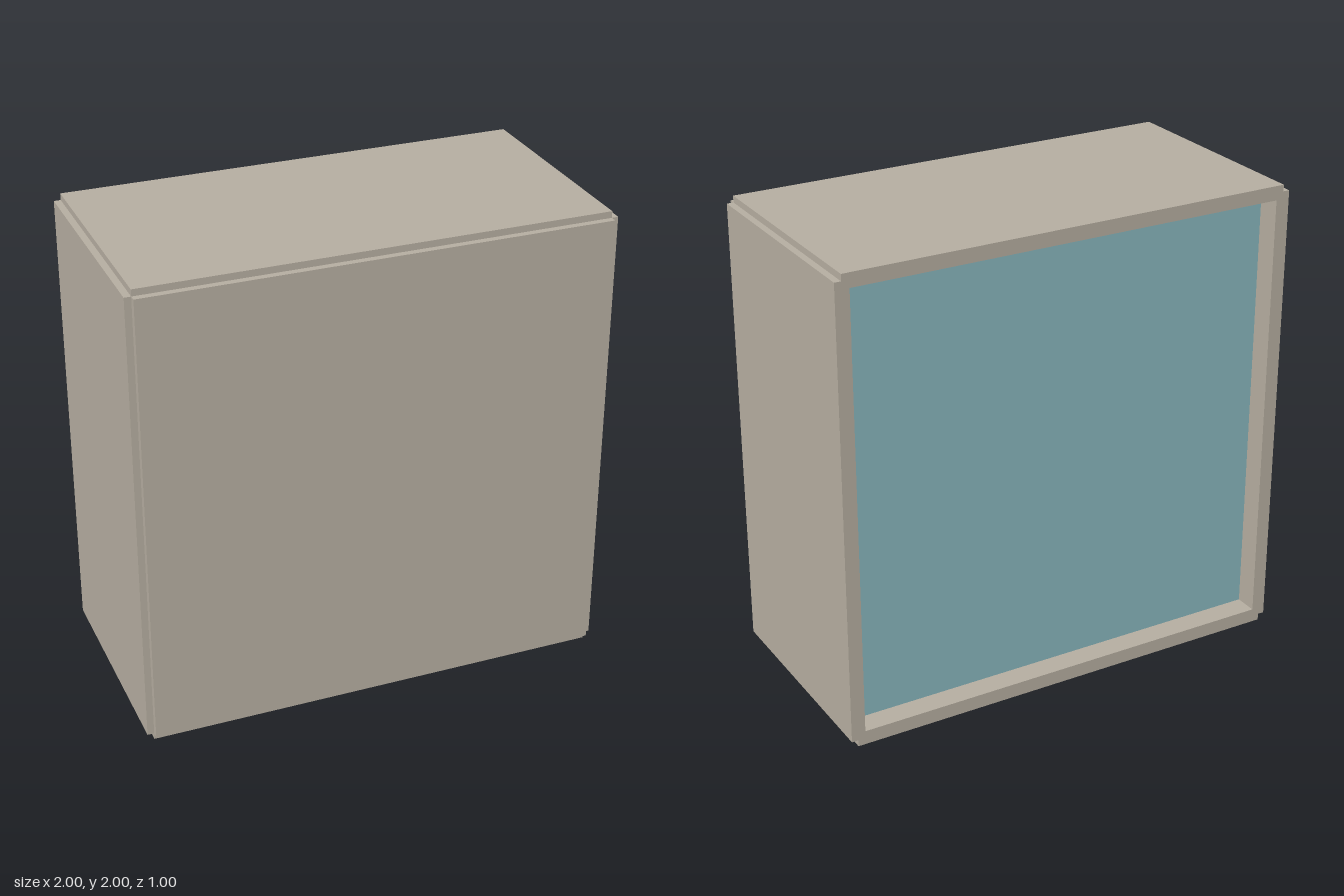
import * as THREE from 'three';

const STEP = 0.028;   // notch along the outer edges
const WALL = 0.06;    // wall thickness
const HALF_DEPTH = 0.498;
const RECESS = 0.1;   // depth of the screen behind the rim

export function createModel() {
  const group = new THREE.Group();
  const casing = new THREE.MeshStandardMaterial({ color: 0xb5ada0 });
  casing.name = 'warm grey casing';
  const glass = new THREE.MeshStandardMaterial({ color: 0x87b5bc });
  glass.name = 'pale blue panel';

  const add = (name, geometry, material, z) => {
    const mesh = new THREE.Mesh(geometry, material);
    mesh.name = name;
    mesh.position.set(0, 1, z);
    group.add(mesh);
  };

  // Four walls: a square with notched corners and an open middle
  const n = 1 - STEP;
  const outline = [
    [n, -1], [n, -n], [1, -n], [1, n], [n, n], [n, 1],
    [-n, 1], [-n, n], [-1, n], [-1, -n], [-n, -n], [-n, -1],
  ];
  const shape = new THREE.Shape(outline.map(([x, y]) => new THREE.Vector2(x, y)));
  const i = 1 - WALL;
  shape.holes.push(new THREE.Path([[-i, -i], [-i, i], [i, i], [i, -i]]
    .map(([x, y]) => new THREE.Vector2(x, y))));
  const walls = new THREE.ExtrudeGeometry(shape, { depth: 2 * HALF_DEPTH - STEP, bevelEnabled: false });
  add('walls', walls, casing, -HALF_DEPTH);

  // Raised plate closing the front
  add('frontPlate', new THREE.BoxGeometry(2 * n, 2 * n, STEP), casing, HALF_DEPTH - STEP / 2);

  // Coloured panel set into the back
  const panelDepth = 0.008;
  add('backPanel', new THREE.BoxGeometry(2 * i, 2 * i, panelDepth), glass,
    -HALF_DEPTH + RECESS + panelDepth / 2);

  return group;
}
